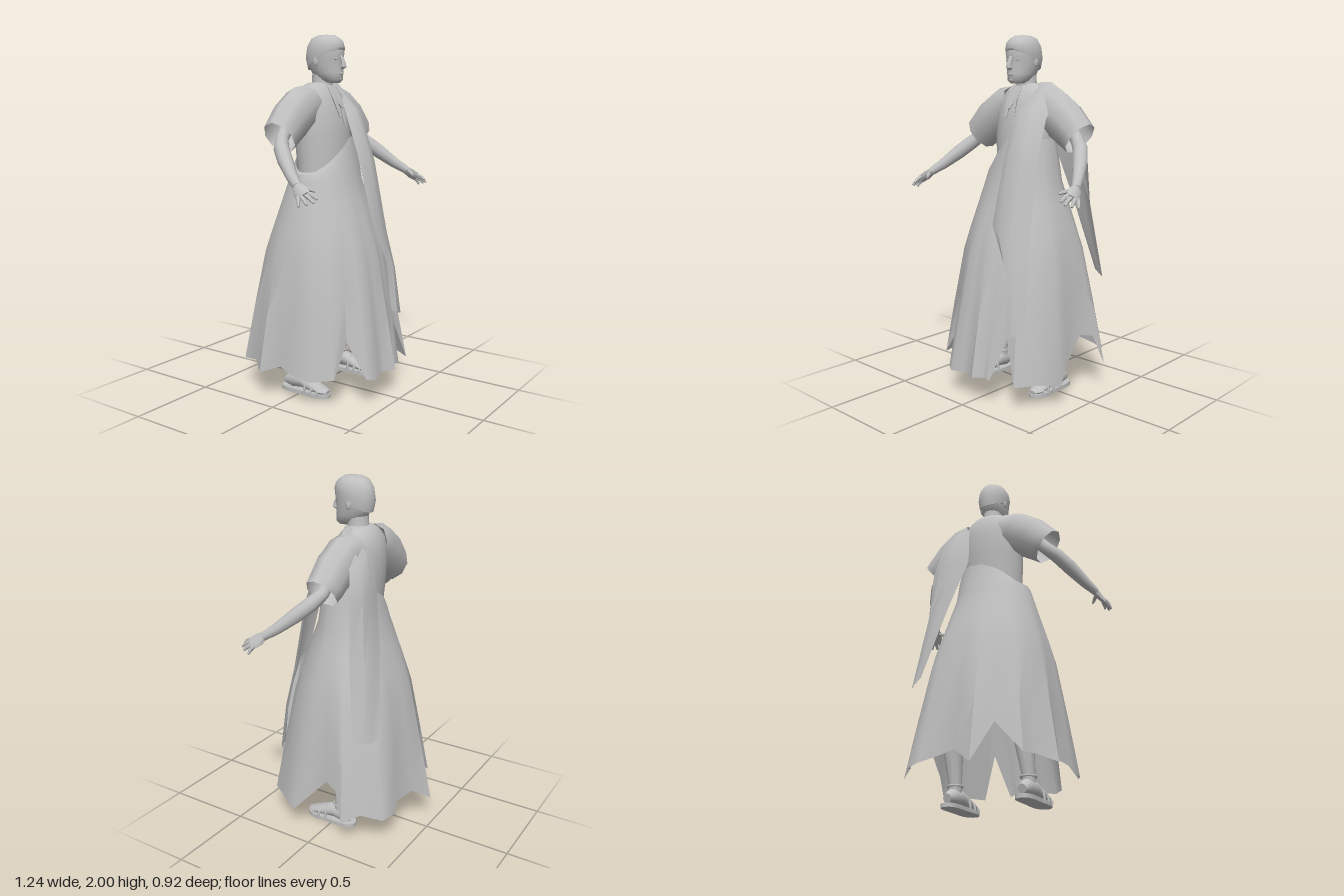
import * as THREE from 'three';
import { toCreasedNormals } from 'three/addons/utils/BufferGeometryUtils.js';

const V = (x, y, z) => new THREE.Vector3(x, y, z);
const clay = new THREE.MeshStandardMaterial({ color: 0xbfbfbf, side: THREE.DoubleSide });
clay.name = 'clay grey';

function add(parent, name, geometry) {
  const mesh = new THREE.Mesh(geometry, clay);
  mesh.name = name;
  parent.add(mesh);
  return mesh;
}

// Skin a list of equal-length rows of points; closed rows may be capped.
function loft(rows, closed = true, caps = closed, crease = 0.9) {
  const n = rows[0].length, pos = [], idx = [];
  rows.forEach(r => r.forEach(p => pos.push(p.x, p.y, p.z)));
  for (let j = 0; j < rows.length - 1; j++) {
    for (let i = 0; i < (closed ? n : n - 1); i++) {
      const a = j * n + i, b = j * n + (i + 1) % n;
      idx.push(a, b, b + n, a, b + n, a + n);
    }
  }
  if (caps) {
    [0, rows.length - 1].forEach((j, end) => {
      const c = rows[j].reduce((s, p) => s.add(p), V(0, 0, 0)).divideScalar(n);
      const k = pos.length / 3;
      pos.push(c.x, c.y, c.z);
      for (let i = 0; i < n; i++) {
        const a = j * n + i, b = j * n + (i + 1) % n;
        if (end) idx.push(a, b, k); else idx.push(b, a, k);
      }
    });
  }
  const g = new THREE.BufferGeometry();
  g.setAttribute('position', new THREE.Float32BufferAttribute(pos, 3));
  g.setIndex(idx);
  return toCreasedNormals(g, crease);
}

// Horizontal elliptical sections, bottom to top: [y, halfWidth, backZ, frontZ, forwardRise]
function body(sections, n = 20) {
  return loft(sections.map(([y, rx, zb, zf, rise = 0]) =>
    Array.from({ length: n }, (_, i) => {
      const a = -i / n * Math.PI * 2;
      return V(rx * Math.cos(a), y + rise * Math.sin(a), (zb + zf) / 2 + (zf - zb) / 2 * Math.sin(a));
    })));
}

// Sections square to a path: [x, y, z, thickness, breadth]
function limb(path, n = 10, ref = V(0, 0, 1), caps = true) {
  const pts = path.map(p => V(p[0], p[1], p[2]));
  return loft(path.map((p, j) => {
    const t = pts[Math.min(j + 1, pts.length - 1)].clone().sub(pts[Math.max(j - 1, 0)]).normalize();
    const u = ref.clone().addScaledVector(t, -ref.dot(t)).normalize();
    const v = u.clone().cross(t);
    return Array.from({ length: n }, (_, i) => {
      const a = i / n * Math.PI * 2;
      return pts[j].clone().addScaledVector(v, p[3] * Math.cos(a)).addScaledVector(u, (p[4] ?? p[3]) * Math.sin(a));
    });
  }), true, caps);
}

const strip = rows => loft(rows.map(r => r.map(p => V(...p))), false);

function ball(parent, name, x, y, z, sx, sy, sz) {
  const m = add(parent, name, new THREE.SphereGeometry(1, 10, 8));
  m.position.set(x, y, z);
  m.scale.set(sx, sy, sz);
}

function makeHead() {
  const head = new THREE.Group();
  head.name = 'head';
  add(head, 'skull', body([
    [1.738, 0.035, 0.02, 0.09], [1.755, 0.055, -0.03, 0.108], [1.79, 0.069, -0.08, 0.108],
    [1.83, 0.079, -0.102, 0.106], [1.87, 0.085, -0.113, 0.106], [1.9, 0.088, -0.115, 0.112],
    [1.95, 0.082, -0.105, 0.098], [1.985, 0.055, -0.07, 0.07]]));
  // Close hair cap, high on the forehead and low on the nape
  add(head, 'hair', body([
    [1.865, 0.086, -0.108, 0.112, 0.055], [1.9, 0.091, -0.121, 0.115, 0.03], [1.945, 0.087, -0.112, 0.106, 0.015],
    [1.98, 0.07, -0.085, 0.085], [1.997, 0.04, -0.05, 0.055], [2.0, 0.012, -0.015, 0.02]]));
  add(head, 'neck', body([[1.62, 0.085, -0.11, 0.05], [1.7, 0.06, -0.085, 0.035], [1.8, 0.056, -0.08, 0.04]], 14));
  add(head, 'nose', limb([[0, 1.885, 0.105, 0.005, 0.01], [0, 1.845, 0.12, 0.01, 0.014], [0, 1.825, 0.122, 0.012, 0.018],
    [0, 1.815, 0.108, 0.008, 0.012]], 8, V(1, 0, 0)));
  ball(head, 'mouth', 0, 1.787, 0.103, 0.024, 0.007, 0.008);
  ball(head, 'chin', 0, 1.758, 0.092, 0.026, 0.016, 0.017);
  for (const s of [-1, 1]) {
    ball(head, 'eye', s * 0.035, 1.866, 0.09, 0.015, 0.006, 0.008);
    ball(head, 'ear', s * 0.082, 1.852, -0.012, 0.008, 0.026, 0.016);
  }
  return head;
}

function makeArm() {
  const arm = new THREE.Group();
  arm.name = 'arm';
  add(arm, 'sleeve', limb([[0.1, 1.62, -0.045, 0.11, 0.1], [0.17, 1.595, -0.045, 0.13, 0.1],
    [0.27, 1.535, -0.04, 0.122, 0.1], [0.345, 1.47, -0.037, 0.108, 0.095], [0.375, 1.445, -0.035, 0.105, 0.088]],
    9, V(0, 0, 1), false));
  add(arm, 'forearm', limb([[0.28, 1.53, -0.04, 0.04], [0.36, 1.44, -0.03, 0.036], [0.41, 1.395, 0.005, 0.041],
    [0.46, 1.335, 0.07, 0.041], [0.515, 1.262, 0.155, 0.031], [0.552, 1.22, 0.215, 0.022, 0.025]]));
  add(arm, 'palm', limb([[0.549, 1.223, 0.21, 0.02, 0.024], [0.562, 1.2, 0.24, 0.018, 0.039],
    [0.58, 1.177, 0.275, 0.014, 0.038]], 8));
  const fingers = [[0.562, 1.192, 0.29, 0.555, 1.165, 0.34], [0.575, 1.182, 0.285, 0.58, 1.15, 0.337],
    [0.588, 1.174, 0.27, 0.602, 1.14, 0.31], [0.592, 1.172, 0.25, 0.615, 1.13, 0.272], [0.55, 1.21, 0.23, 0.5, 1.195, 0.29]];
  for (const [x, y, z, X, Y, Z] of fingers)
    add(arm, 'finger', limb([[x, y, z, 0.012], [(x + X) / 2, (y + Y) / 2 + 0.005, (z + Z) / 2, 0.011], [X, Y, Z, 0.006]], 6));
  return arm;
}

function makeLeg() {
  const leg = new THREE.Group();
  leg.name = 'leg';
  add(leg, 'shin', limb([[0.22, 0.06, -0.04, 0.037], [0.22, 0.14, -0.04, 0.036], [0.215, 0.32, -0.075, 0.055],
    [0.19, 0.7, -0.05, 0.07]]));
  add(leg, 'foot', limb([[0.22, 0.05, -0.115, 0.025], [0.22, 0.063, -0.07, 0.046, 0.042], [0.22, 0.07, 0, 0.044, 0.042],
    [0.221, 0.05, 0.08, 0.03, 0.046], [0.222, 0.036, 0.14, 0.02, 0.044], [0.222, 0.032, 0.172, 0.01, 0.024]], 12, V(1, 0, 0)));
  // Sandal sole and straps
  const outline = new THREE.Shape();
  outline.moveTo(0, 0.14);
  outline.bezierCurveTo(-0.07, 0.14, -0.04, 0.03, -0.05, -0.06);
  outline.bezierCurveTo(-0.07, -0.22, 0.07, -0.22, 0.05, -0.06);
  outline.bezierCurveTo(0.04, 0.03, 0.07, 0.14, 0, 0.14);
  const sole = add(leg, 'sole', new THREE.ExtrudeGeometry(outline, { depth: 0.022, bevelEnabled: false }));
  sole.rotation.x = -Math.PI / 2;
  sole.position.set(0.22, 0, 0);
  for (const [z, w, h] of [[0.04, 0.05, 0.08], [0.085, 0.052, 0.062], [0.125, 0.052, 0.045]]) {
    const strap = add(leg, 'strap', new THREE.TorusGeometry(1, 0.14, 6, 14, Math.PI));
    strap.position.set(0.22, 0.012, z);
    strap.scale.set(w, h, 0.05);
  }
  const ankle = add(leg, 'ankleStrap', new THREE.TorusGeometry(0.041, 0.006, 6, 16));
  ankle.rotation.x = Math.PI / 2;
  ankle.position.set(0.22, 0.125, -0.04);
  return leg;
}

// Pleated skirt: ragged hem corners [x, z, y], gathered to a slanting waist
function makeSkirt() {
  const hem = [[0.03, 0.455, 0.15], [0.08, 0.41, 0.16], [0.13, 0.42, 0.15], [0.19, 0.34, 0.38], [0.28, 0.385, 0.14],
    [0.35, 0.28, 0.14], [0.42, 0.16, 0.12], [0.39, 0.07, 0.22], [0.38, -0.05, 0.35], [0.41, -0.13, 0.33], [0.45, -0.19, 0.16],
    [0.36, -0.26, 0.19], [0.3, -0.37, 0.16], [0.22, -0.4, 0.17], [0.12, -0.37, 0.2], [0, -0.4, 0.21], [-0.12, -0.46, 0.12],
    [-0.19, -0.34, 0.34], [-0.34, -0.33, 0.17], [-0.36, -0.23, 0.18], [-0.44, -0.14, 0.15], [-0.39, -0.03, 0.19],
    [-0.42, 0.06, 0.17], [-0.41, 0.18, 0.15], [-0.35, 0.3, 0.17], [-0.23, 0.3, 0.35], [-0.2, 0.41, 0.15],
    [-0.15, 0.44, 0.14], [-0.08, 0.42, 0.15], [-0.03, 0.42, 0.15]];
  const at = (h, rx, rz, y) => {
    const a = Math.atan2(h[1], h[0]);
    return V(rx * Math.cos(a), y, rz * Math.sin(a));
  };
  const waistY = h => {
    const c = Math.cos(Math.atan2(h[1], h[0]));
    return 1.25 + 0.19 * THREE.MathUtils.clamp((c + 0.95) / 1.05, 0, 1);
  };
  const rows = [hem.map(h => at(h, 0.198, 0.148, waistY(h))), hem.map(h => at(h, 0.222, 0.172, waistY(h) * 0.4 + 0.74))];
  // Each step: drop towards the hem, spread towards the hem
  for (const [drop, spread] of [[0, 0], [0.12, 0.18], [0.27, 0.4], [0.39, 0.56], [0.7, 0.8], [1, 1]]) {
    rows.push(hem.map(h => {
      const p = at(h, 0.235, 0.192, 1.2);
      const flare = at(h, 0.425, 0.42, 0).lerp(V(h[0], 0, h[1]), 0.4 + 0.6 * drop);
      return V(p.x + (flare.x - p.x) * spread, p.y + (h[2] - p.y) * drop, p.z + (flare.z - p.z) * spread);
    }));
  }
  return loft(rows.reverse(), true, false, 0.8);
}

export function createModel() {
  const model = new THREE.Group();
  model.name = 'robedFigure';
  model.add(makeHead());
  add(model, 'bodice', body([[1.15, 0.18, -0.14, 0.13], [1.3, 0.18, -0.15, 0.125], [1.45, 0.19, -0.165, 0.12],
    [1.58, 0.19, -0.17, 0.1], [1.67, 0.165, -0.155, 0.07], [1.72, 0.12, -0.125, 0.04], [1.74, 0.075, -0.1, 0.02]]));
  add(model, 'skirt', makeSkirt());

  for (const side of [1, -1]) {
    for (const part of [makeArm(), makeLeg()]) {
      part.name = (side > 0 ? 'left ' : 'right ') + part.name;
      part.scale.x = side;
      model.add(part);
    }
  }

  // Neck cords
  for (const [x, end] of [[-0.035, 1.55], [-0.01, 1.6], [0.015, 1.5]])
    add(model, 'neckCord', limb([[x * 0.8, 1.72, 0.04, 0.012], [x, 1.64, 0.09, 0.013], [x + 0.01, end, 0.118, 0.006]], 6));

  // Long shawl over the left shoulder: a tapering front fall and a shorter back fall
  add(model, 'shawlFront', strip([
    [[0.19, 0.44, 0.33], [0.21, 0.42, 0.36], [0.25, 0.41, 0.36], [0.3, 0.42, 0.31]],
    [[0.165, 0.72, 0.31], [0.19, 0.7, 0.34], [0.23, 0.68, 0.33], [0.28, 0.68, 0.28]],
    [[0.035, 0.98, 0.29], [0.1, 0.94, 0.31], [0.18, 0.9, 0.3], [0.26, 0.88, 0.24]],
    [[0.035, 1.35, 0.19], [0.1, 1.35, 0.225], [0.18, 1.3, 0.215], [0.24, 1.3, 0.165]],
    [[0.04, 1.6, 0.1], [0.1, 1.6, 0.13], [0.17, 1.58, 0.125], [0.235, 1.55, 0.08]],
    [[0.05, 1.73, -0.03], [0.1, 1.745, -0.03], [0.17, 1.745, -0.04], [0.22, 1.71, -0.05]]]));
  add(model, 'shawlBack', strip([
    [[0.05, 1.73, -0.03], [0.1, 1.745, -0.03], [0.17, 1.745, -0.04], [0.22, 1.71, -0.05]],
    [[0.08, 1.62, -0.165], [0.15, 1.62, -0.17], [0.22, 1.58, -0.17], [0.28, 1.55, -0.145]],
    [[0.07, 1.4, -0.185], [0.17, 1.4, -0.205], [0.25, 1.4, -0.205], [0.32, 1.38, -0.17]],
    [[0.15, 1.1, -0.255], [0.22, 1.1, -0.26], [0.29, 1.08, -0.24], [0.34, 1.06, -0.18]],
    [[0.27, 0.66, -0.33], [0.32, 0.64, -0.31], [0.36, 0.64, -0.28], [0.39, 0.66, -0.23]]]));
  return model;
}
